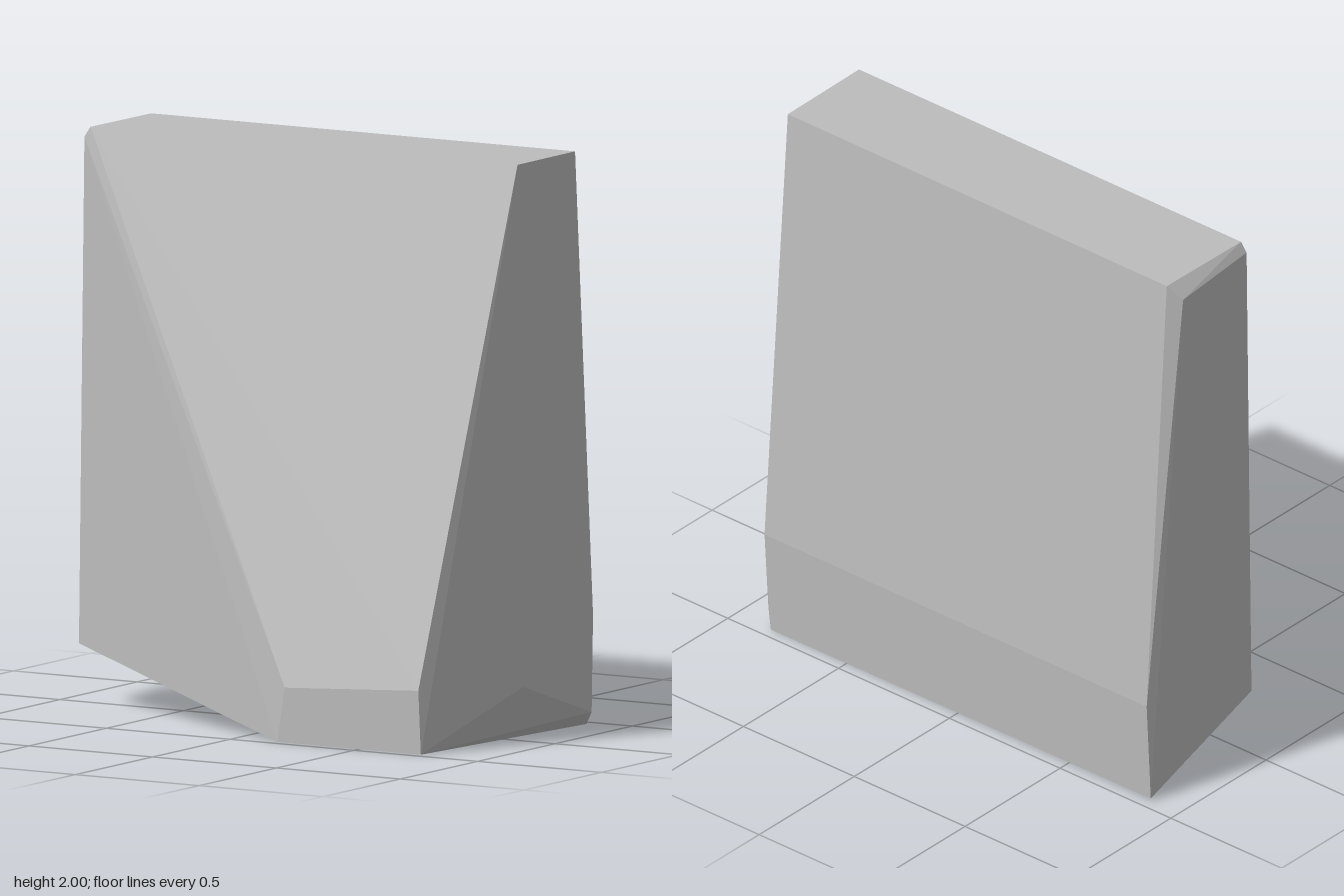
import * as THREE from 'three';
import { ConvexGeometry } from 'three/addons/geometries/ConvexGeometry.js';

export function createModel() {
  const group = new THREE.Group();
  group.name = 'stoneBlock';
  const stone = new THREE.MeshStandardMaterial({ color: 0xbcbcbc });
  stone.name = 'grey stone';

  // Corners of the faceted stone, grouped by region
  const corners = [
    // top face
    [-0.84, 2, -0.335], [-0.845, 2, 0.05], [0.88, 2, 0.05], [0.875, 2, -0.33],
    // chipped upper edge on the -x side
    [-0.888, 1.95, -0.305], [-0.868, 1.965, 0.052],
    // lower front nose
    [0.2, 0.19, 0.467], [0.17, 0, 0.467], [0.74, 0.22, 0.467], [0.75, 0, 0.467],
    // +x side
    [0.885, 0.19, 0.02], [0.887, 0.05, -0.418], [0.84, 0, -0.46],
    // -x side, with the undercut front corner
    [-0.89, 0.21, 0.052], [-0.875, 0.01, -0.46],
    // ridge across the back
    [0.86, 0.38, -0.47], [-0.865, 0.38, -0.47],
  ].map((p) => new THREE.Vector3(...p));

  const body = new THREE.Mesh(new ConvexGeometry(corners), stone);
  body.name = 'stoneBody';
  group.add(body);
  return group;
}
